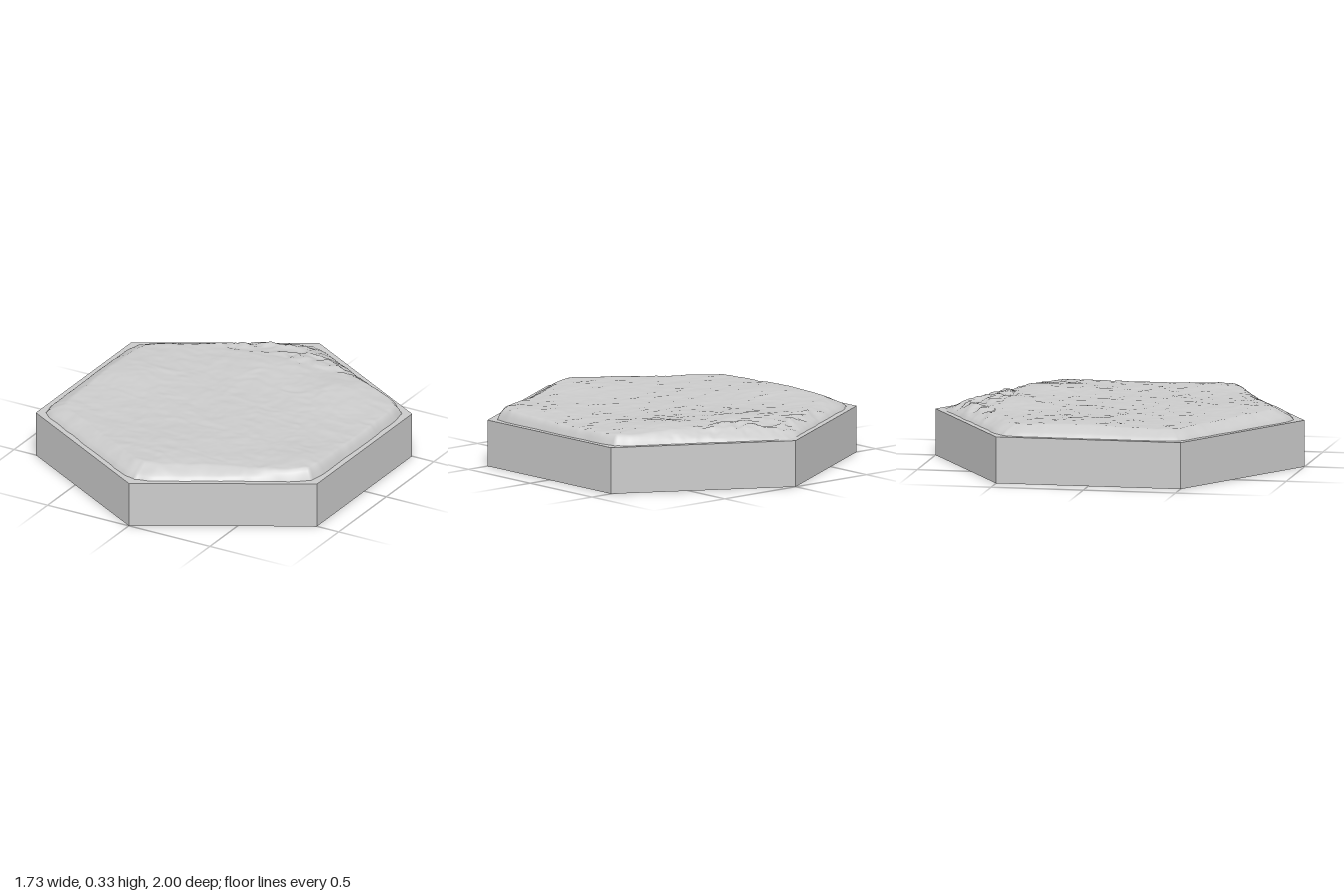
import * as THREE from 'three';

const BASE_HEIGHT = 0.25;
const RINGS = 75;
const smooth = (a, b, t) => THREE.MathUtils.smoothstep(t, a, b);

// Repeatable lattice value in 0..1
function hash(i, j) {
  let n = Math.imul(i, 374761393) + Math.imul(j, 668265263);
  n = Math.imul(n ^ (n >>> 13), 1274126177);
  return ((n ^ (n >>> 16)) >>> 0) / 4294967295;
}

// Smooth value noise in -1..1
function noise(x, z) {
  const i = Math.floor(x), j = Math.floor(z);
  const u = smooth(0, 1, x - i), v = smooth(0, 1, z - j);
  const top = THREE.MathUtils.lerp(hash(i, j), hash(i + 1, j), u);
  const bottom = THREE.MathUtils.lerp(hash(i, j + 1), hash(i + 1, j + 1), u);
  return 2 * THREE.MathUtils.lerp(top, bottom, v) - 1;
}

// Soft hill centred on (cx, cz)
const hill = (x, z, cx, cz, size, height) =>
  height * Math.exp(-((x - cx) ** 2 + (z - cz) ** 2) / (size * size));

// Rocky ground height away from the rim
function groundHeight(x, z) {
  const broad = 0.3
    + hill(x, z, 0.45, -0.45, 0.2, 0.025)
    + hill(x, z, 0.0, -0.6, 0.25, 0.022)
    + hill(x, z, -0.62, -0.1, 0.25, 0.015)
    + hill(x, z, 0.0, 0.72, 0.3, 0.013)
    + hill(x, z, 0.7, 0.38, 0.16, 0.013)
    - hill(x, z, 0, -0.95, 0.2, 0.025);
  // The back tip and the left edge are smoother
  const calm = Math.max(smooth(-0.62, -0.85, z), smooth(0.55, 0.75, x) * smooth(0.3, 0.1, z));
  const rough = 1 - 0.75 * calm;
  const wx = x + 0.03 * noise(x * 9 + 40, z * 9), wz = z + 0.03 * noise(x * 9, z * 9 + 70);
  const ledges = 0.5 - Math.abs(noise(wx * 9 + 5, wz * 15 + 9));
  return broad + rough * (0.013 * ledges
    + 0.007 * noise(wx * 18 + 11, wz * 24 + 3)
    + 0.004 * noise(wx * 40, wz * 40 + 20));
}

// Hexagonal sheet of concentric rings, shaped by the ground height
function terrainGeometry() {
  const corner = (s) => {
    const a = (s * Math.PI) / 3;
    return new THREE.Vector2(Math.sin(a), Math.cos(a));
  };
  const positions = [0, groundHeight(0, 0), 0];
  const indices = [];
  const start = (i) => (i === 0 ? 0 : 1 + 3 * i * (i - 1));
  for (let i = 1; i <= RINGS; i++) {
    const f = i / RINGS;
    for (let k = 0; k < 6 * i; k++) {
      const s = Math.floor(k / i);
      const p = corner(s).lerp(corner(s + 1), (k % i) / i);
      // Slightly rounded corners and an uneven rim
      const round = 1 - 0.02 * smooth(0.95, 1, p.length());
      const wobble = 1 + 0.006 * f * noise(p.x * 12, p.y * 12);
      p.multiplyScalar(0.965 * f * round * wobble);
      const slope = 0.09 - 0.055 * smooth(0.3, 0.75, p.x);
      const rise = Math.pow(Math.min(1, ((1 - f) * 0.84) / slope), 0.65);
      const y = BASE_HEIGHT + (groundHeight(p.x, p.y) - BASE_HEIGHT) * rise;
      positions.push(p.x, y, p.y);
    }
    // Stitch this ring to the one inside it
    const inner = Math.max(1, 6 * (i - 1));
    for (let s = 0; s < 6; s++) {
      for (let j = 0; j < i; j++) {
        const a = start(i) + s * i + j;
        const b = start(i) + ((s * i + j + 1) % (6 * i));
        const c = start(i - 1) + ((s * (i - 1) + j) % inner);
        indices.push(c, a, b);
        if (j < i - 1) indices.push(c, b, start(i - 1) + ((s * (i - 1) + j + 1) % inner));
      }
    }
  }
  const geometry = new THREE.BufferGeometry();
  geometry.setAttribute('position', new THREE.Float32BufferAttribute(positions, 3));
  geometry.setIndex(indices);
  geometry.computeVertexNormals();
  return geometry;
}

export function createModel() {
  const model = new THREE.Group();
  model.name = 'hexTerrainTile';

  // Plain six-sided base with corners at front and back
  const base = new THREE.Mesh(
    new THREE.CylinderGeometry(1, 1, BASE_HEIGHT, 6),
    new THREE.MeshStandardMaterial({ color: 0xcccccc, flatShading: true })
  );
  base.name = 'hexBase';
  base.position.y = BASE_HEIGHT / 2;

  // Rocky ground on top
  const ground = new THREE.Mesh(
    terrainGeometry(),
    new THREE.MeshStandardMaterial({ color: 0xcccccc, side: THREE.DoubleSide })
  );
  ground.name = 'rockyGround';

  model.add(base, ground);
  return model;
}
